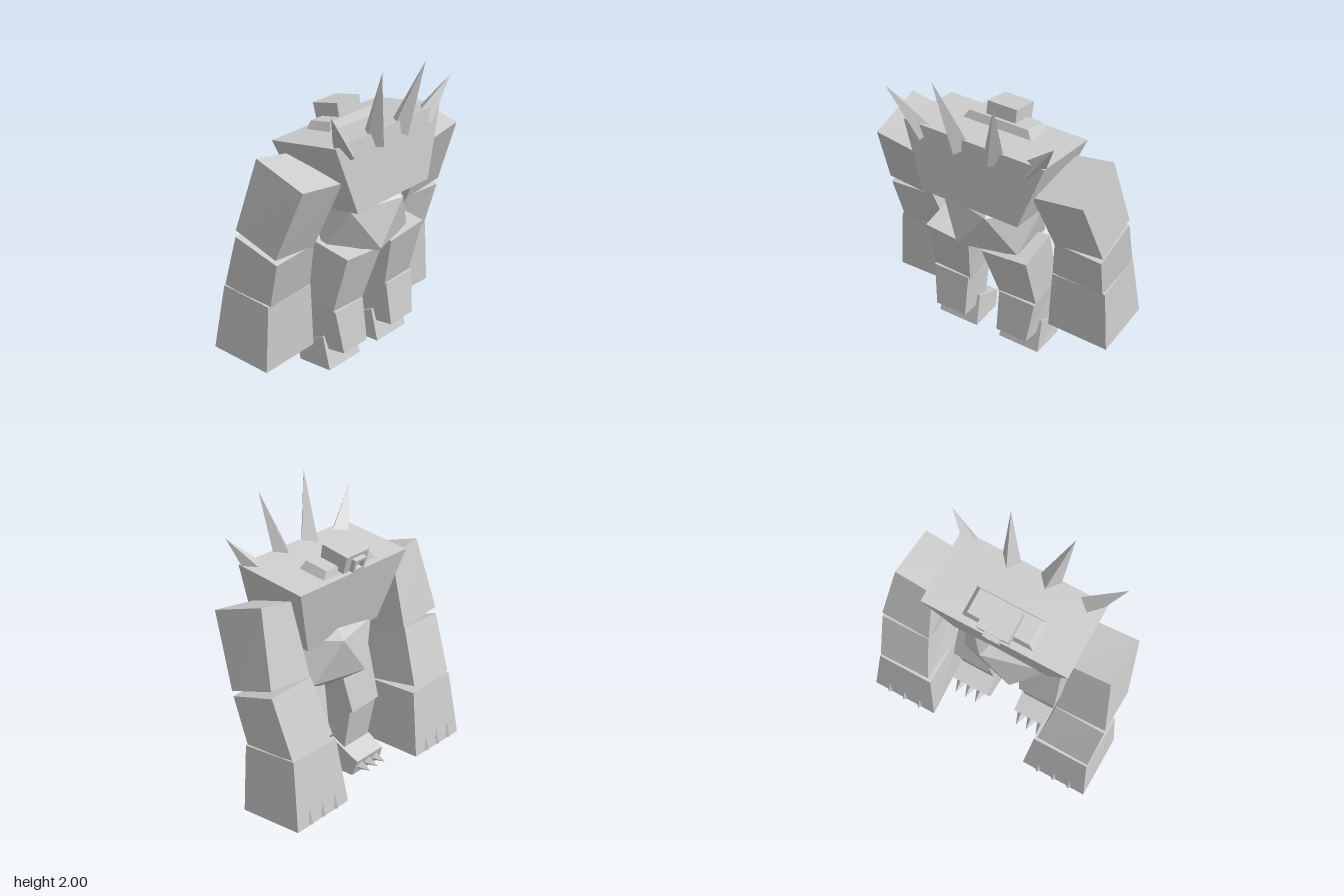
import * as THREE from 'three';

const stone = new THREE.MeshStandardMaterial({ color: 0xcccccc, flatShading: true });
stone.name = 'pale grey stone';

function add(parent, name, geometry) {
  const mesh = new THREE.Mesh(geometry, stone);
  mesh.name = name;
  parent.add(mesh);
  return mesh;
}

// Six-sided block from four edges running along x, each given as
// [x1, y1, x2, y2, z] with x1 < x2; side = -1 mirrors it across x = 0.
function block(parent, name, edges, side = 1) {
  const { topFront, topBack, bottomFront, bottomBack } = edges;
  const geometry = new THREE.BoxGeometry(1, 1, 1).toNonIndexed();
  const p = geometry.attributes.position;
  for (let i = 0; i < p.count; i++) {
    const front = p.getZ(i) > 0;
    const e = p.getY(i) > 0 ? (front ? topFront : topBack) : (front ? bottomFront : bottomBack);
    const far = p.getX(i) * side > 0;
    p.setXYZ(i, side * (far ? e[2] : e[0]), far ? e[3] : e[1], e[4]);
  }
  geometry.computeVertexNormals();
  return add(parent, name, geometry);
}

// Edge symmetric about x = 0
const mid = (w, y, z) => [-w, y, w, y, z];

// Four-sided spike from a base centre to a tip
function spike(parent, name, base, tip, radius) {
  const a = new THREE.Vector3(...base), b = new THREE.Vector3(...tip);
  const dir = b.clone().sub(a), length = dir.length();
  const geometry = new THREE.ConeGeometry(radius, length, 4).translate(0, length / 2, 0);
  const mesh = add(parent, name, geometry);
  mesh.position.copy(a);
  mesh.quaternion.setFromUnitVectors(new THREE.Vector3(0, 1, 0), dir.normalize());
  return mesh;
}

export function createModel() {
  const model = new THREE.Group();
  model.name = 'stone golem';

  // Torso, tapering to the waist and tilted
  block(model, 'torso', {
    topFront: mid(0.5, 1.595, 0.325), topBack: mid(0.5, 1.525, -0.175),
    bottomFront: mid(0.345, 1.145, 0.365), bottomBack: mid(0.335, 1.08, -0.08),
  });

  // Faceted pelvis, turned so one upper corner points to +x
  const pelvis = new THREE.IcosahedronGeometry(1, 0);
  const axis = new THREE.Vector3(0, 1, (1 + Math.sqrt(5)) / 2).normalize();
  pelvis.applyQuaternion(new THREE.Quaternion().setFromUnitVectors(axis, new THREE.Vector3(0, 1, 0)));
  const p = pelvis.attributes.position;
  for (let i = 0; i < p.count; i++) {
    if (p.getY(i) > 0.3 && p.getY(i) < 0.6) {
      pelvis.rotateY(Math.atan2(p.getZ(i), p.getX(i)));
      break;
    }
  }
  pelvis.scale(0.386, 0.31, 0.31).translate(0, 0.96, 0.09);
  pelvis.computeVertexNormals();
  add(model, 'pelvis', pelvis);

  // Collar, head and mouth frame
  block(model, 'collar', {
    topFront: mid(0.21, 1.608, 0.04), topBack: mid(0.21, 1.58, -0.12),
    bottomFront: mid(0.245, 1.555, 0.065), bottomBack: mid(0.245, 1.525, -0.13),
  });
  block(model, 'head', {
    topFront: mid(0.105, 1.69, 0), topBack: mid(0.105, 1.65, -0.195),
    bottomFront: mid(0.105, 1.575, 0.02), bottomBack: mid(0.105, 1.54, -0.165),
  });
  const frame = new THREE.Shape([[-0.052, -0.042], [0.052, -0.042], [0.052, 0.042], [-0.052, 0.042]]
    .map(([x, y]) => new THREE.Vector2(x, y)));
  frame.holes.push(new THREE.Path([[-0.034, -0.026], [-0.034, 0.026], [0.034, 0.026], [0.034, -0.026]]
    .map(([x, y]) => new THREE.Vector2(x, y))));
  const mouth = add(model, 'mouthFrame',
    new THREE.ExtrudeGeometry(frame, { depth: 0.035, bevelEnabled: false }).translate(0, 0, -0.03));
  mouth.position.set(0, 1.587, -0.178);
  mouth.rotation.x = -0.27;

  // Shoulder spikes
  spike(model, 'innerSpike', [-0.11, 1.52, 0.29], [-0.205, 2.0, 0.425], 0.08);
  spike(model, 'innerSpike', [0.135, 1.52, 0.29], [0.215, 1.965, 0.42], 0.075);
  spike(model, 'outerSpike', [-0.37, 1.52, 0.275], [-0.59, 1.82, 0.37], 0.08);
  spike(model, 'outerSpike', [0.39, 1.52, 0.275], [0.575, 1.775, 0.35], 0.075);

  for (const side of [1, -1]) {
    // Arm
    const arm = new THREE.Group();
    arm.name = side > 0 ? 'leftArm' : 'rightArm';
    model.add(arm);
    block(arm, 'upperArm', {
      topFront: [0.4, 1.34, 0.745, 1.39, 0.29], topBack: [0.48, 1.46, 0.735, 1.505, -0.08],
      bottomFront: [0.46, 0.9, 0.8, 0.93, 0.115], bottomBack: [0.46, 1.0, 0.8, 1.03, -0.205],
    }, side);
    block(arm, 'forearm', {
      topFront: [0.46, 0.91, 0.79, 0.89, 0.115], topBack: [0.46, 1.0, 0.8, 0.985, -0.21],
      bottomFront: [0.4, 0.585, 0.765, 0.55, 0.025], bottomBack: [0.41, 0.635, 0.775, 0.61, -0.34],
    }, side);
    block(arm, 'hand', {
      topFront: [0.4, 0.58, 0.785, 0.58, 0.03], topBack: [0.39, 0.595, 0.775, 0.6, -0.35],
      bottomFront: [0.38, 0.145, 0.815, 0.135, 0.03], bottomBack: [0.35, 0.16, 0.815, 0.155, -0.415],
    }, side);
    for (const x of [0.465, 0.583, 0.7]) {
      spike(arm, 'fingerClaw', [side * x, 0.165, -0.415], [side * x, 0.27, -0.405], 0.018);
    }

    // Leg
    const leg = new THREE.Group();
    leg.name = side > 0 ? 'leftLeg' : 'rightLeg';
    model.add(leg);
    block(leg, 'thigh', {
      topFront: [0.05, 0.8, 0.375, 0.83, 0.31], topBack: [0.07, 0.86, 0.375, 0.88, 0.03],
      bottomFront: [0.12, 0.4, 0.385, 0.435, 0.2], bottomBack: [0.12, 0.46, 0.385, 0.475, -0.06],
    }, side);
    block(leg, 'shin', {
      topFront: [0.12, 0.44, 0.385, 0.44, 0.22], topBack: [0.12, 0.47, 0.385, 0.47, -0.04],
      bottomFront: [0.125, 0.15, 0.35, 0.15, 0.26], bottomBack: [0.125, 0.125, 0.36, 0.125, 0.02],
    }, side);
    block(leg, 'foot', {
      topFront: [0.105, 0.22, 0.38, 0.23, 0.11], topBack: [0.11, 0.11, 0.375, 0.11, -0.11],
      bottomFront: [0.09, 0.01, 0.39, 0.01, 0.175], bottomBack: [0.1, 0, 0.39, 0, -0.075],
    }, side);
    for (const x of [0.165, 0.243, 0.32]) {
      spike(leg, 'toeClaw', [side * x, 0.06, -0.08], [side * x, 0.045, -0.18], 0.04);
    }
  }
  return model;
}
